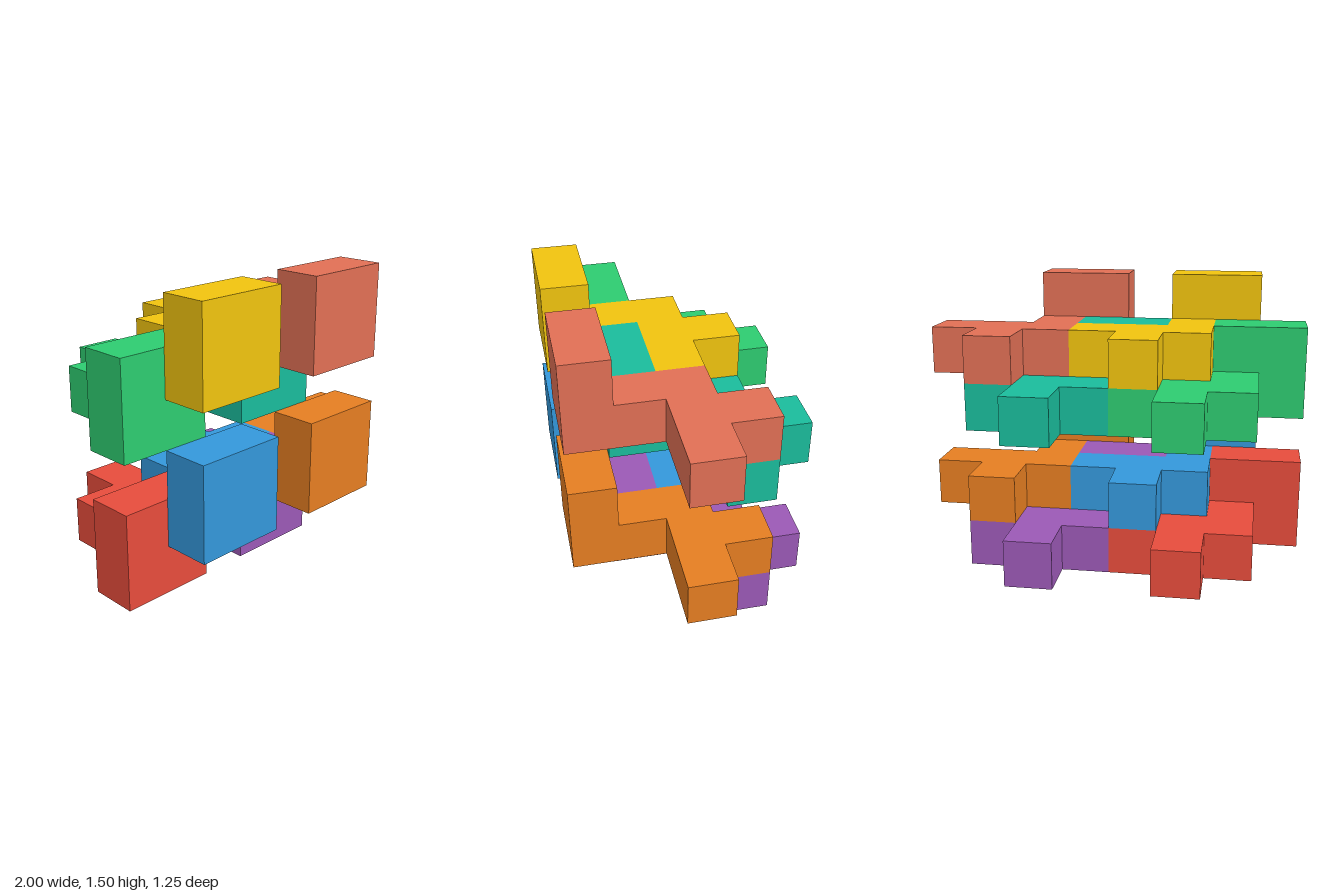
import * as THREE from 'three';
import { mergeGeometries } from 'three/addons/utils/BufferGeometryUtils.js';

const U = 0.25; // edge of one unit cube

// Cells of one interlocking block as [x, y, z]: raised bar, stem, cross arm and tip
const CELLS = [
  [0, 0, 4], [1, 0, 4], [0, 1, 4], [1, 1, 4],
  [1, 0, 3],
  [1, 0, 2], [2, 0, 2], [3, 0, 2],
  [2, 0, 1],
];

// Outer skin only: a square wherever a cell has no neighbour
function blockGeometry() {
  const filled = new Set(CELLS.map(String));
  const faces = [];
  for (const cell of CELLS) {
    for (let axis = 0; axis < 3; axis++) {
      for (const sign of [-1, 1]) {
        const next = [...cell];
        next[axis] += sign;
        if (filled.has(String(next))) continue;
        const dir = new THREE.Vector3().setComponent(axis, sign);
        const face = new THREE.PlaneGeometry(U, U);
        face.applyQuaternion(new THREE.Quaternion().setFromUnitVectors(new THREE.Vector3(0, 0, 1), dir));
        const centre = new THREE.Vector3(...cell).addScalar(0.5).addScaledVector(dir, 0.5).multiplyScalar(U);
        faces.push(face.translate(centre.x, centre.y, centre.z));
      }
    }
  }
  return mergeGeometries(faces);
}

export function createModel() {
  const model = new THREE.Group();
  model.name = 'interlockingBlocks';
  const geometry = blockGeometry();

  // Each layer: right and left block colours, from the bottom up
  const layers = [
    [0xe74c3c, 0x9b59b6],
    [0x3498db, 0xe67e22],
    [0x2ecc71, 0x1abc9c],
    [0xf1c40f, 0xe17055],
  ];
  layers.forEach((colors, layer) => {
    const upper = layer % 2; // upper block of a pair steps one cell up, forward and sideways
    const level = Math.floor(layer / 2) * 3 + upper;
    colors.forEach((color, column) => {
      const block = new THREE.Mesh(geometry, new THREE.MeshStandardMaterial({ color }));
      block.name = `${column ? 'left' : 'right'}BlockLayer${layer + 1}`;
      block.position.set(-1 + (column * 3 + upper) * U, level * U, -0.625 + (upper - 1) * U);
      model.add(block);
    });
  });
  return model;
}
